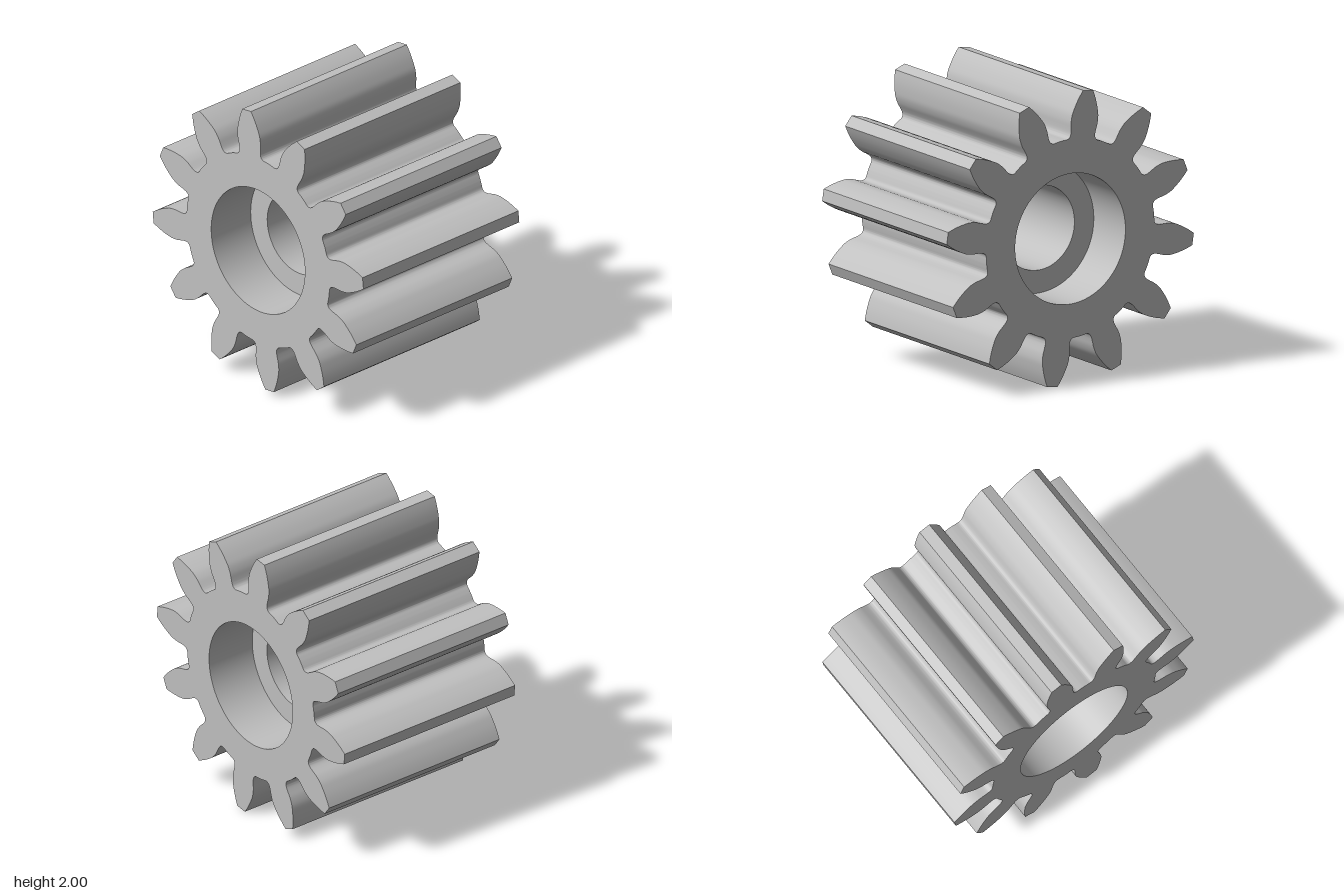
import * as THREE from 'three';
import { toCreasedNormals } from 'three/addons/utils/BufferGeometryUtils.js';

const TEETH = 12, LENGTH = 1.42, RECESS_R = 0.44, BORE_R = 0.285, RECESS_DEPTH = 0.36;

// One tooth flank from tip to root: [distance along the tooth axis, half thickness]
const FLANK = [
  [0.99, 0.0405], [0.955, 0.059], [0.915, 0.077], [0.87, 0.093], [0.825, 0.105],
  [0.775, 0.107], [0.735, 0.1015], [0.705, 0.098], [0.684, 0.1], [0.668, 0.109],
  [0.66, 0.123], [0.656, 0.143], [0.65, 0.17],
];

// Closed outline of all the teeth with the round recess cut out
function gearShape() {
  const curve = new THREE.SplineCurve(FLANK.map(([r, n]) => new THREE.Vector2(r, n)));
  const left = curve.getPoints(36);
  const right = left.map((p) => new THREE.Vector2(p.x, -p.y)).reverse();
  const tooth = [...right, ...left];
  const outline = [];
  for (let i = 0; i < TEETH; i++) {
    const angle = THREE.MathUtils.degToRad(7.5) + (i * Math.PI * 2) / TEETH;
    for (const p of tooth) outline.push(p.clone().rotateAround(new THREE.Vector2(), angle));
  }
  const shape = new THREE.Shape(outline);
  shape.holes.push(new THREE.Path().absarc(0, 0, RECESS_R, 0, Math.PI * 2, true));
  return shape;
}

export function createModel() {
  const model = new THREE.Group();
  model.name = 'pinionGear';
  const steel = new THREE.MeshStandardMaterial({ color: 0xc0c0c0 });
  steel.name = 'greySteel';

  // Toothed body
  const body = new THREE.ExtrudeGeometry(gearShape(), {
    depth: LENGTH, bevelEnabled: false, curveSegments: 72,
  });
  body.translate(0, 0, -LENGTH / 2);
  const toothedBody = new THREE.Mesh(toCreasedNormals(body, 0.5), steel);
  toothedBody.name = 'toothedBody';

  // Inner collar: a ledge at each end with the narrower bore between
  const h = LENGTH / 2 - RECESS_DEPTH;
  const profile = [[RECESS_R, h], [BORE_R, h], [BORE_R, -h], [RECESS_R, -h]];
  const collar = new THREE.LatheGeometry(profile.map(([r, y]) => new THREE.Vector2(r, y)), 72);
  collar.rotateX(Math.PI / 2);
  const boreCollar = new THREE.Mesh(toCreasedNormals(collar, 0.5), steel);
  boreCollar.name = 'boreCollar';

  // The gear leans very slightly off its axis
  const gear = new THREE.Group();
  gear.name = 'gear';
  gear.add(toothedBody, boreCollar);
  gear.rotation.set(-0.021, 0.0135, 0);
  gear.position.y = 1;
  model.add(gear);
  return model;
}
